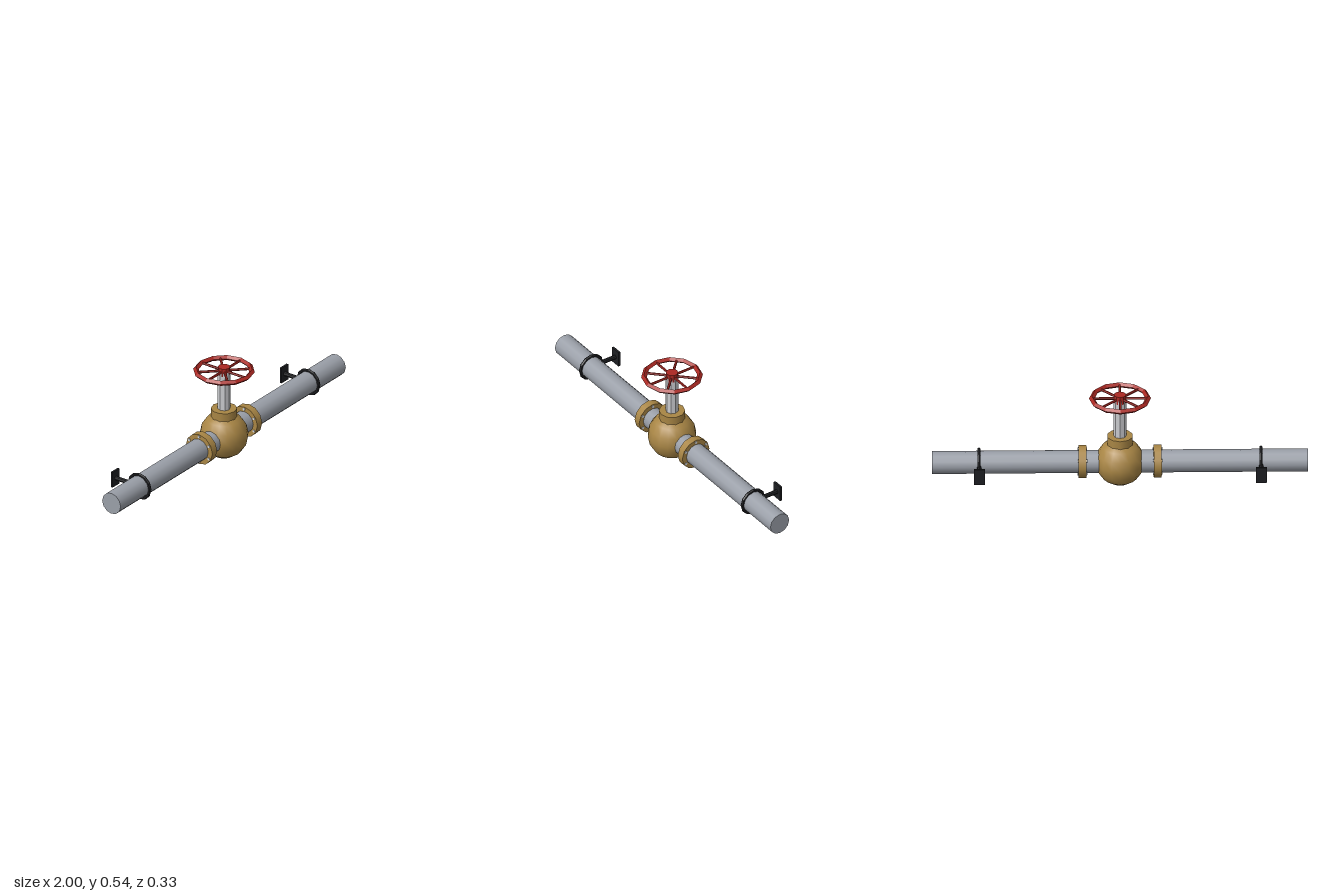
import * as THREE from 'three';

const AXIS_Y = 0.131; // height of the pipe centre line

const paint = (color, flatShading = false) => new THREE.MeshStandardMaterial({ color, flatShading });

function add(parent, name, geometry, material, x = 0, y = 0, z = 0) {
  const mesh = new THREE.Mesh(geometry, material);
  mesh.name = name;
  mesh.position.set(x, y, z);
  parent.add(mesh);
  return mesh;
}

// Cylinder lying along x
const rod = (radius, length, sides) =>
  new THREE.CylinderGeometry(radius, radius, length, sides).rotateZ(Math.PI / 2);

function subgroup(parent, name, x, y, z) {
  const group = new THREE.Group();
  group.name = name;
  group.position.set(x, y, z);
  parent.add(group);
  return group;
}

export function createModel() {
  const steel = paint(0x9a9fa8);
  const stemSteel = paint(0xcbccd0, true);
  const boltSteel = paint(0xd5d8dc);
  const brass = paint(0xa98645);
  const red = paint(0xab2822, true);
  const black = paint(0x1e1f22, true);
  const model = new THREE.Group();
  model.name = 'pipeValve';

  // Pipe running the full length
  add(model, 'pipe', rod(0.061, 2, 12), steel, 0, AXIS_Y, 0);

  // Round valve body with neck and stem
  add(model, 'valveBody', new THREE.SphereGeometry(AXIS_Y, 16, 8), brass, 0, AXIS_Y, 0);
  add(model, 'valveNeck', new THREE.CylinderGeometry(0.07, 0.07, 0.087, 10), brass, 0, 0.2435, 0);
  add(model, 'stem', new THREE.CylinderGeometry(0.034, 0.034, 0.25, 8), stemSteel, 0, 0.385, 0);

  // Hand wheel: diamond-section rim, hub and eight spokes
  const wheel = subgroup(model, 'handWheel', 0, 0.512, 0);
  add(wheel, 'wheelRim', new THREE.TorusGeometry(0.15, 0.015, 4, 12).rotateX(Math.PI / 2), red);
  add(wheel, 'wheelHub', new THREE.CylinderGeometry(0.033, 0.033, 0.046, 10), red);
  for (let i = 0; i < 4; i++) {
    add(wheel, 'wheelSpokePair', rod(0.007, 0.29, 6), red).rotation.y = (i * Math.PI) / 4;
  }

  for (const side of [-1, 1]) {
    // Bolted flange
    const flange = subgroup(model, side > 0 ? 'leftFlange' : 'rightFlange', side * 0.2, AXIS_Y, 0);
    add(flange, 'flangeRing', rod(0.088, 0.042, 12), brass);
    for (let i = 0; i < 6; i++) {
      const a = (i * Math.PI) / 3;
      add(flange, 'flangeBolt', rod(0.008, 0.05, 6), boltSteel, 0, 0.075 * Math.cos(a), 0.075 * Math.sin(a));
    }

    // Pipe clamp with an arm and plate reaching back to the wall
    const clamp = subgroup(model, side > 0 ? 'leftClamp' : 'rightClamp', side * 0.75, AXIS_Y, 0);
    add(clamp, 'clampRing', new THREE.TorusGeometry(0.069, 0.009, 6, 12).rotateY(Math.PI / 2), black);
    add(clamp, 'clampArm', new THREE.CylinderGeometry(0.012, 0.012, 0.1, 8).rotateX(Math.PI / 2), black, 0, 0, -0.11);
    add(clamp, 'wallPlate', new THREE.BoxGeometry(0.06, 0.09, 0.012), black, 0, 0, -0.162);
  }
  return model;
}
